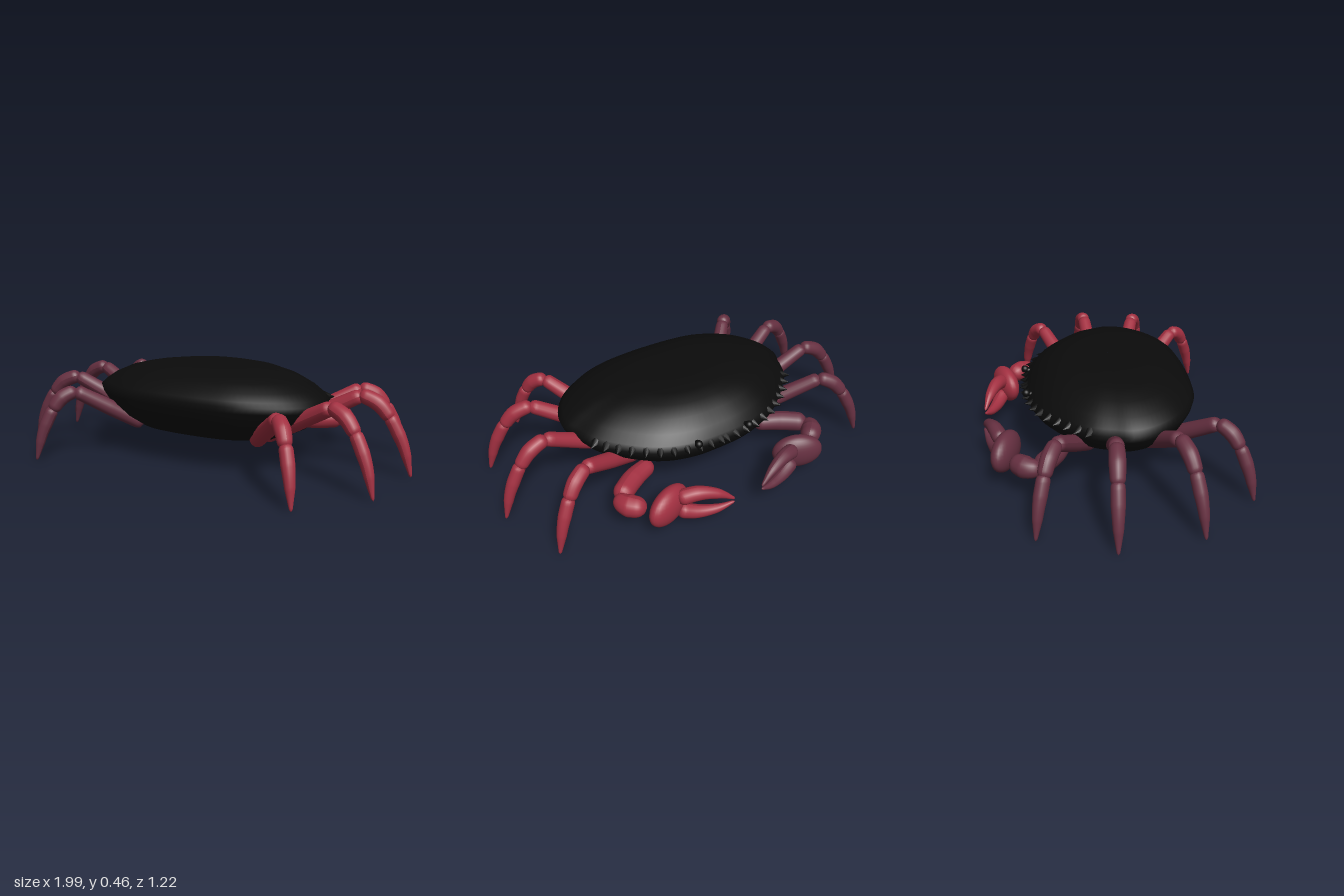
import * as THREE from 'three';

const V = (x, y, z) => new THREE.Vector3(x, y, z);
const mat = (name, color) => {
  const m = new THREE.MeshStandardMaterial({ color });
  m.name = name;
  return m;
};

function add(parent, name, geometry, material) {
  const mesh = new THREE.Mesh(geometry, material);
  mesh.name = name;
  parent.add(mesh);
  return mesh;
}

// Round-ended tapering tube: radii are spread evenly along the curve
function limb(points, radii, sides = 16, steps = 30) {
  const curve = new THREE.CatmullRomCurve3(points);
  const geo = new THREE.TubeGeometry(curve, steps, 1, sides, false);
  const length = curve.getLength();
  const pos = geo.attributes.position;
  const v = V(0, 0, 0);
  for (let i = 0; i < pos.count; i++) {
    const u = Math.floor(i / (sides + 1)) / steps;
    const k = Math.min(Math.floor(u * (radii.length - 1)), radii.length - 2);
    const r = THREE.MathUtils.lerp(radii[k], radii[k + 1], u * (radii.length - 1) - k);
    const d = Math.min(1, (Math.min(u, 1 - u) * length) / r);
    const c = curve.getPointAt(u);
    v.fromBufferAttribute(pos, i).sub(c).multiplyScalar(r * Math.sqrt(1 - (1 - d) ** 2)).add(c);
    pos.setXYZ(i, v.x, v.y, v.z);
  }
  geo.computeVertexNormals();
  return geo;
}

// Half outline of the shell, from the face edge round to the back
const HALF = [[0, -0.395], [0.15, -0.385], [0.31, -0.335], [0.45, -0.235], [0.555, -0.12], [0.595, -0.02],
  [0.62, 0.06], [0.6, 0.16], [0.53, 0.265], [0.42, 0.345], [0.3, 0.395], [0.15, 0.415], [0, 0.42]];
const OUTLINE = new THREE.CatmullRomCurve3(
  [...HALF, ...HALF.slice(1, -1).reverse().map(([x, z]) => [-x, z])].map(([x, z]) => V(x, 0, z)), true);
const rimY = (z) => 0.325 + z * 0.05;

function shellGeometry() {
  // [scale of outline, height, how far the rim tilt applies]
  const rings = [[0.002, 0.465, 0], [0.22, 0.465, 0], [0.44, 0.46, 0], [0.6, 0.446, 0.1], [0.75, 0.422, 0.3],
    [0.88, 0.384, 0.6], [0.96, 0.349, 0.9], [1, 0.325, 1], [0.985, 0.295, 1], [0.93, 0.25, 0.6],
    [0.82, 0.195, 0.3], [0.68, 0.152, 0], [0.5, 0.132, 0], [0.002, 0.13, 0]];
  const n = 96, pos = [], idx = [];
  for (const [s, y, tilt] of rings) {
    for (let i = 0; i < n; i++) {
      const p = OUTLINE.getPoint(i / n);
      pos.push(p.x * s, y + tilt * 0.05 * p.z, 0.02 * (1 - s) + p.z * s);
    }
  }
  for (let r = 0; r < rings.length - 1; r++) {
    for (let i = 0; i < n; i++) {
      const j = (i + 1) % n, a = r * n, b = a + n;
      idx.push(a + i, b + j, b + i, a + i, a + j, b + j);
    }
  }
  const geo = new THREE.BufferGeometry();
  geo.setAttribute('position', new THREE.Float32BufferAttribute(pos, 3));
  geo.setIndex(idx);
  geo.computeVertexNormals();
  return geo;
}

// Walking legs: base x/z, tip x/z, knee height
const LEGS = [
  [0.32, -0.10, 0.86, -0.385, 0.35],
  [0.33, 0.005, 0.99, -0.055, 0.372],
  [0.32, 0.11, 0.935, 0.322, 0.367],
  [0.32, 0.20, 0.685, 0.602, 0.342],
];

function walkingLeg(side, [bx, bz, tx, tz, kneeY], material) {
  const leg = new THREE.Group();
  const at = (t, y) => V(side * THREE.MathUtils.lerp(bx, tx, t), y, THREE.MathUtils.lerp(bz, tz, t));
  const knee = at(0.64, kneeY), ankle = at(0.83, kneeY * 0.75);
  add(leg, 'upperLeg', limb([at(0, 0.145), knee], [0.038, 0.04, 0.034]), material);
  add(leg, 'midLeg', limb([at(0.61, kneeY + 0.002), at(0.75, kneeY * 0.9), at(0.845, kneeY * 0.71)],
    [0.034, 0.037, 0.031]), material);
  add(leg, 'legTip', limb([at(0.82, kneeY * 0.77), ankle, at(0.93, kneeY * 0.42), at(1, 0.002)],
    [0.031, 0.031, 0.023, 0.006]), material);
  return leg;
}

function clawArm(side, material) {
  const arm = new THREE.Group();
  const p = (x, y, z) => V(side * x, y, z);
  add(arm, 'upperArm', limb([p(0.3, 0.16, -0.22), p(0.42, 0.16, -0.27), p(0.54, 0.16, -0.355)],
    [0.04, 0.05, 0.048]), material);
  add(arm, 'wrist', limb([p(0.54, 0.155, -0.335), p(0.53, 0.155, -0.4), p(0.46, 0.155, -0.47)],
    [0.035, 0.053, 0.045]), material);
  // Palm: taller than it is thick
  const palm = add(arm, 'palm', new THREE.SphereGeometry(1, 28, 18), material);
  palm.scale.set(0.125, 0.092, 0.055);
  palm.position.copy(p(0.365, 0.152, -0.5));
  palm.rotation.y = side * 0.4;
  // Two pincers curving together
  add(arm, 'upperPincer', limb([p(0.33, 0.185, -0.515), p(0.24, 0.205, -0.55), p(0.15, 0.185, -0.583),
    p(0.075, 0.138, -0.608)], [0.04, 0.035, 0.024, 0.005]), material);
  add(arm, 'lowerPincer', limb([p(0.33, 0.12, -0.515), p(0.24, 0.092, -0.55), p(0.15, 0.095, -0.583),
    p(0.075, 0.122, -0.608)], [0.04, 0.033, 0.022, 0.005]), material);
  return arm;
}

export function createModel() {
  const crab = new THREE.Group();
  crab.name = 'crab';
  const black = mat('shellBlack', 0x0b0b0b);
  const red = mat('limbRed', 0xa23041);
  const plum = mat('limbPlum', 0x663041);

  add(crab, 'shell', shellGeometry(), black);

  for (const side of [1, -1]) {
    // Saw teeth along the face edge
    const teeth = new THREE.Group();
    teeth.name = 'edgeTeeth';
    for (let i = 0; i < 11; i++) {
      const u = (0.1 + i * 0.38) / 24;
      const p = OUTLINE.getPoint(u), t = OUTLINE.getTangent(u);
      const out = V(side * t.z, 0, -t.x);
      const tooth = add(teeth, 'tooth', new THREE.ConeGeometry(0.026, 0.05, 8), black);
      tooth.position.set(side * p.x, rimY(p.z), p.z).addScaledVector(out, 0.004);
      tooth.quaternion.setFromUnitVectors(V(0, 1, 0), out.normalize());
    }
    crab.add(teeth);

    // Stalked eye
    const eye = add(crab, 'eye', new THREE.SphereGeometry(0.019, 16, 12), black);
    eye.position.set(side * 0.14, 0.335, -0.393);
    add(crab, 'eyeStalk', limb([V(side * 0.13, 0.32, -0.34), V(side * 0.14, 0.333, -0.393)],
      [0.013, 0.012], 10, 8), black);

    const limbMat = side > 0 ? red : plum;
    LEGS.forEach((spec) => {
      const leg = walkingLeg(side, spec, limbMat);
      leg.name = 'walkingLeg';
      crab.add(leg);
    });
    const arm = clawArm(side, limbMat);
    arm.name = 'clawArm';
    crab.add(arm);
  }
  return crab;
}
